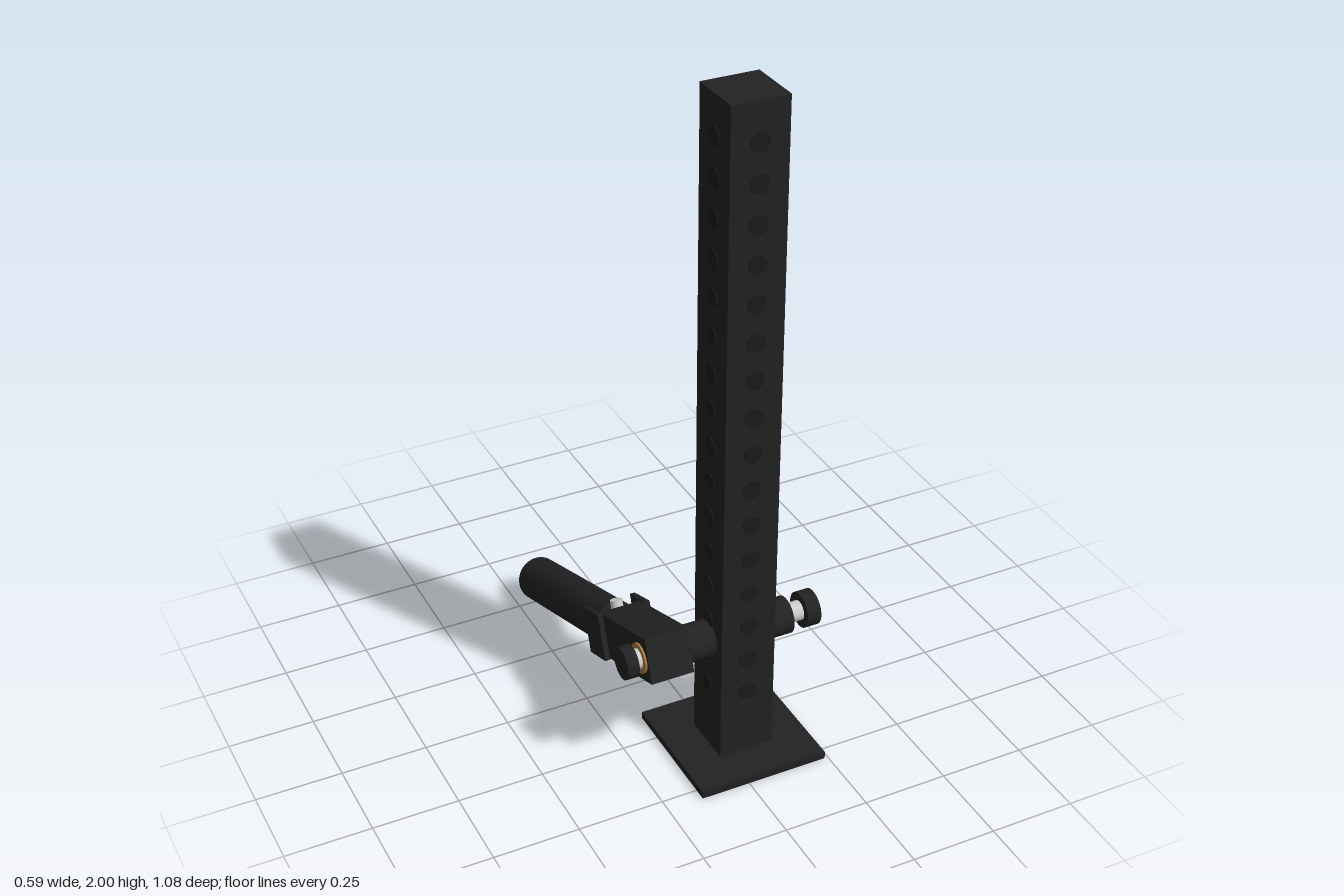
import * as THREE from 'three';

const mat = (name, color) => {
  const m = new THREE.MeshStandardMaterial({ color });
  m.name = name;
  return m;
};

export function createModel() {
  const black = mat('black steel', 0x222222);
  const dark = mat('dark hole', 0x1a1a1a);
  const silver = mat('silver', 0xcccccc);
  const brass = mat('brass', 0xa9793a);
  const model = new THREE.Group();
  model.name = 'postWithFoldingArm';

  const add = (parent, name, geometry, material, x, y, z) => {
    const mesh = new THREE.Mesh(geometry, material);
    mesh.name = name;
    mesh.position.set(x, y, z);
    parent.add(mesh);
    return mesh;
  };
  const box = (parent, name, material, size, pos) =>
    add(parent, name, new THREE.BoxGeometry(...size), material, ...pos);
  // Cylinder lying along x between two ends
  const rodX = (parent, name, material, r, x0, x1, y, z) =>
    add(parent, name, new THREE.CylinderGeometry(r, r, x1 - x0, 32).rotateZ(Math.PI / 2),
      material, (x0 + x1) / 2, y, z);

  // Post on its square base
  const px = 0.048, pz = 0.345, w = 0.163;
  box(model, 'basePlate', black, [0.385, 0.022, 0.385], [px, 0.011, pz]);
  box(model, 'post', black, [w, 1.978, w], [px, 1.011, pz]);

  // Rows of adjustment holes on all four sides
  const holes = new THREE.Group();
  holes.name = 'adjustmentHoles';
  model.add(holes);
  const disc = new THREE.CylinderGeometry(0.027, 0.027, w + 0.006, 24);
  const across = disc.clone().rotateZ(Math.PI / 2);
  const through = disc.clone().rotateX(Math.PI / 2);
  for (let i = 0; i < 16; i++) {
    const y = 0.23 + i * 0.1107;
    add(holes, 'sideHole', across, dark, px, y, pz);
    add(holes, 'frontHole', through, dark, px, y, pz);
  }

  // Pivot axle with a knob at each end
  const py = 0.385;
  rodX(model, 'pivotSleeve', black, 0.054, -0.115, 0.208, py, pz);
  rodX(model, 'pivotPin', silver, 0.029, -0.27, 0.255, py, pz);
  rodX(model, 'leftKnob', black, 0.052, 0.252, 0.294, py, pz);
  rodX(model, 'rightKnob', black, 0.047, -0.298, -0.264, py, pz);
  rodX(model, 'washer', brass, 0.044, -0.246, -0.24, py, pz);

  // Arm: runs backward along -z and slopes down from the pivot
  const arm = new THREE.Group();
  arm.name = 'arm';
  arm.position.set(-0.175, py, pz);
  arm.rotation.x = -THREE.MathUtils.degToRad(20);
  model.add(arm);
  box(arm, 'armBlock', black, [0.128, 0.13, 0.314], [0, 0, -0.107]);
  for (const side of [-1, 1]) {
    box(arm, 'hingePlate', black, [0.015, 0.135, 0.105], [side * 0.073, 0, -0.287]);
  }
  add(arm, 'handleTube', new THREE.CylinderGeometry(0.067, 0.067, 0.605, 40).rotateX(Math.PI / 2),
    black, 0, 0, -0.6125);
  add(arm, 'hingeBolt', new THREE.CylinderGeometry(0.018, 0.018, 0.155, 24), silver, 0, 0.004, -0.284);
  return model;
}
